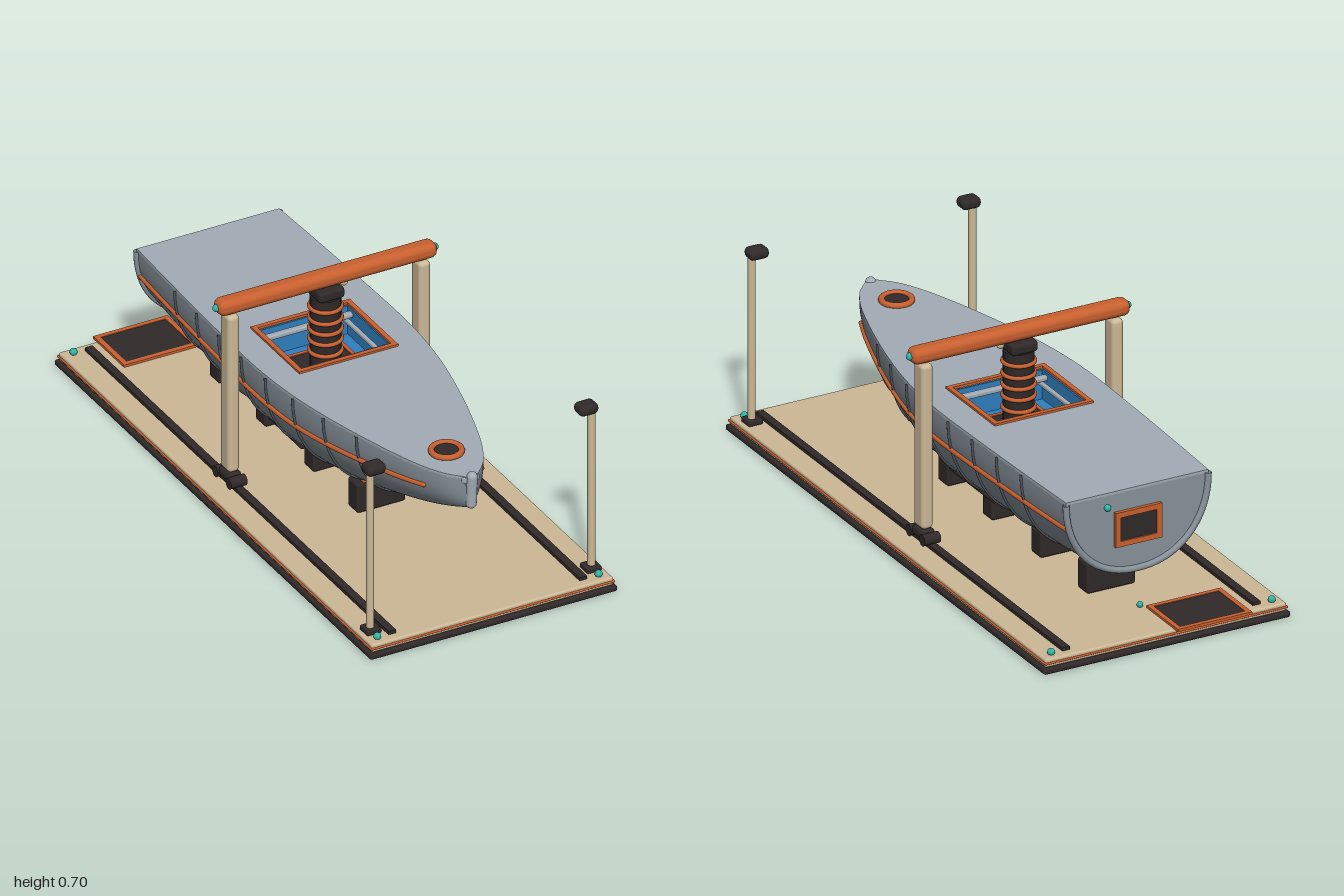
import * as THREE from 'three';
import { RoundedBoxGeometry } from 'three/addons/geometries/RoundedBoxGeometry.js';

const V = (x, y, z) => new THREE.Vector3(x, y, z);
const mat = (name, color, side = THREE.FrontSide) => {
  const m = new THREE.MeshStandardMaterial({ color, side });
  m.name = name;
  return m;
};

// Hull stations: z, half width, keel height
const SHEER = 0.448;
const STATIONS = [
  [-0.8, 0.245, 0.185], [-0.6, 0.253, 0.165], [-0.3, 0.262, 0.152], [0, 0.264, 0.148],
  [0.2, 0.245, 0.158], [0.4, 0.205, 0.195], [0.6, 0.15, 0.25], [0.72, 0.108, 0.29],
  [0.8, 0.066, 0.322], [0.85, 0.02, 0.345],
];
const hullCurve = new THREE.CatmullRomCurve3(STATIONS.map(([z, w, k]) => V(w, k, z)));

// Half width and keel height at a given z
function station(z) {
  let lo = 0, hi = 1;
  for (let i = 0; i < 24; i++) {
    const mid = (lo + hi) / 2;
    if (hullCurve.getPoint(mid).z < z) lo = mid; else hi = mid;
  }
  return hullCurve.getPoint(lo);
}

// Point on the hull section; angle 0 = left sheer, PI = right sheer
function hullPoint(s, a, out = 0) {
  const c = Math.cos(a), n = Math.sin(a);
  return V(Math.sign(c) * Math.abs(c) ** 0.92 * (s.x + out),
    SHEER - Math.abs(n) ** 0.95 * (SHEER - s.y + out), s.z);
}

function hullGeometry() {
  const rows = 48, cols = 40, pos = [], idx = [];
  for (let i = 0; i <= rows; i++) {
    const s = hullCurve.getPoint(i / rows);
    for (let j = 0; j <= cols; j++) pos.push(...hullPoint(s, (Math.PI * j) / cols).toArray());
  }
  for (let i = 0; i < rows; i++) for (let j = 0; j < cols; j++) {
    const a = i * (cols + 1) + j, b = a + cols + 1;
    idx.push(a, b, a + 1, b, b + 1, a + 1);
  }
  const g = new THREE.BufferGeometry();
  g.setAttribute('position', new THREE.Float32BufferAttribute(pos, 3));
  g.setIndex(idx);
  g.computeVertexNormals();
  return g;
}

export function createModel() {
  const root = new THREE.Group();
  root.name = 'boatOnCradle';
  const hullGrey = mat('hullGrey', 0x89939b, THREE.DoubleSide);
  const deckGrey = mat('deckGrey', 0xa3adb6);
  const slate = mat('slate', 0x505860);
  const dark = mat('charcoal', 0x302929);
  const orange = mat('orange', 0xc8602f);
  const tan = mat('tan', 0xcdb997);
  const teal = mat('teal', 0x2fb5a5);
  const blue = mat('blue', 0x2f7fc0);

  const add = (name, geo, m, x = 0, y = 0, z = 0) => {
    const mesh = new THREE.Mesh(geo, m);
    mesh.name = name;
    mesh.position.set(x, y, z);
    root.add(mesh);
    return mesh;
  };
  const box = (name, m, w, h, d, x, y, z, r = 0) =>
    add(name, r ? new RoundedBoxGeometry(w, h, d, 3, r) : new THREE.BoxGeometry(w, h, d), m, x, y, z);
  const ball = (name, m, r, x, y, z) => add(name, new THREE.SphereGeometry(r, 16, 12), m, x, y, z);
  const cyl = (name, m, r, h, x, y, z) => add(name, new THREE.CylinderGeometry(r, r, h, 24), m, x, y, z);
  const tube = (name, m, pts, r, n = 40) =>
    add(name, new THREE.TubeGeometry(new THREE.CatmullRomCurve3(pts), n, r, 8), m);
  // Flat rectangular frame in the XY plane
  const frame = (name, m, w, h, t, depth) => {
    const rect = (C, a, b) => {
      const p = new C();
      p.moveTo(-a, -b); p.lineTo(a, -b); p.lineTo(a, b); p.lineTo(-a, b); p.closePath();
      return p;
    };
    const s = rect(THREE.Shape, w / 2, h / 2);
    s.holes.push(rect(THREE.Path, w / 2 - t, h / 2 - t));
    return add(name, new THREE.ExtrudeGeometry(s, { depth, bevelEnabled: false }), m);
  };

  // Platform
  box('platformFoot', dark, 0.85, 0.02, 1.98, 0, 0.01, 0, 0.008);
  box('platformDeck', tan, 0.83, 0.027, 1.96, 0, 0.0335, 0, 0.006);
  box('platformTrim', orange, 0.838, 0.007, 1.968, 0, 0.033, 0, 0.003);
  box('floorHatch', dark, 0.23, 0.006, 0.17, -0.157, 0.05, -0.903);
  const hatchFrame = frame('floorHatchFrame', orange, 0.256, 0.195, 0.016, 0.009);
  hatchFrame.rotation.x = -Math.PI / 2;
  hatchFrame.position.set(-0.157, 0.046, -0.903);
  ball('floorHatchLamp', teal, 0.01, -0.015, 0.055, -0.79);

  // Rails, lamp posts, gantry legs
  for (const s of [-1, 1]) {
    box('rail', dark, 0.026, 0.012, 1.9, s * 0.328, 0.052, 0);
    for (const z of [-0.95, 0.95]) ball('cornerLamp', teal, 0.012, s * 0.38, 0.054, z);
    box('postFoot', dark, 0.05, 0.018, 0.05, s * 0.378, 0.056, 0.905, 0.005);
    cyl('lampPost', tan, 0.0125, 0.55, s * 0.38, 0.335, 0.905);
    box('lampHead', dark, 0.066, 0.036, 0.055, s * 0.365, 0.615, 0.9, 0.016);
    box('gantryLeg', tan, 0.04, 0.548, 0.06, s * 0.328, 0.368, -0.066, 0.014);
    box('gantryBogie', dark, 0.05, 0.034, 0.07, s * 0.328, 0.078, -0.066, 0.014);
    for (const z of [-0.108, -0.024]) {
      const wheel = cyl('bogieWheel', dark, 0.018, 0.056, s * 0.328, 0.07, z);
      wheel.rotation.z = Math.PI / 2;
    }
    ball('beamLamp', teal, 0.012, s * 0.375, 0.67, -0.066);
  }
  box('gantryBeam', orange, 0.75, 0.052, 0.06, 0, 0.67, -0.066, 0.022);

  // Hanging lift column with rings
  box('columnHead', dark, 0.09, 0.038, 0.09, 0, 0.627, -0.066, 0.012);
  cyl('liftColumn', dark, 0.048, 0.25, 0, 0.485, -0.066);
  for (const y of [0.42, 0.46, 0.496, 0.533, 0.573]) {
    const ring = add('columnRing', new THREE.TorusGeometry(0.049, 0.007, 8, 32), orange, 0, y, -0.066);
    ring.rotation.x = Math.PI / 2;
  }
  ball('hoistKnob', tan, 0.012, 0.063, 0.637, -0.066);

  // Keel blocks
  for (const z of [0.255, -0.02, -0.322, -0.61]) {
    const top = station(z).y;
    box('keelBlock', dark, 0.168, top - 0.062, 0.064, 0, (top + 0.032) / 2, z, 0.01);
    box('keelPad', orange, 0.13, 0.018, 0.07, 0, top - 0.007, z, 0.006);
  }

  // Hull shell and transom
  add('hull', hullGeometry(), hullGrey);
  const stern = station(-0.8);
  const arc = [];
  for (let i = 0; i <= 32; i++) arc.push(hullPoint(stern, (Math.PI * i) / 32));
  const transomShape = new THREE.Shape(arc.map((p) => new THREE.Vector2(p.x, p.y)));
  add('transom', new THREE.ShapeGeometry(transomShape), hullGrey, 0, 0, -0.8);
  tube('transomRim', hullGrey, arc, 0.011, 64);
  box('transomHatch', dark, 0.13, 0.09, 0.008, 0, 0.33, -0.803);
  frame('transomHatchFrame', orange, 0.16, 0.115, 0.018, 0.014).position.set(0, 0.33, -0.812);
  ball('transomLamp', teal, 0.011, 0.105, 0.41, -0.806);

  // Hull ribs
  for (let i = 0; i < 8; i++) {
    const s = station(0.47 - i * 0.1445), pts = [];
    for (let j = 0; j <= 24; j++) pts.push(hullPoint(s, (Math.PI * j) / 24, 0.001));
    tube('hullRib', slate, pts, 0.005, 48);
  }

  // Rub rails and bilge keels, both sides
  for (const side of [-1, 1]) {
    const pts = [];
    for (let i = 0; i <= 20; i++) {
      const z = 0.73 - (i / 20) * 1.52, s = station(z);
      const y = z > 0.15 ? 0.347 + 0.043 * ((z - 0.15) / 0.58) ** 1.4 : 0.347 + 0.014 * ((0.15 - z) / 0.95);
      const a = Math.asin(Math.min(1, (SHEER - y) / (SHEER - s.y)) ** (1 / 0.95));
      const p = hullPoint(s, a, 0.003);
      pts.push(V(p.x * side, p.y, z));
    }
    tube('rubRail', orange, pts, 0.0075, 60);
    for (const p of [pts[0], pts[20]]) ball('rubRailEnd', orange, 0.0075, p.x, p.y, p.z);
    box('bilgeKeel', dark, 0.02, 0.014, 0.28, side * 0.152, 0.192, -0.062, 0.006);
  }

  // Deck with well opening
  const outline = [];
  for (let i = 0; i <= 40; i++) {
    const p = hullCurve.getPoint(i / 40);
    outline.push(new THREE.Vector2(p.x, -p.z));
  }
  const deckShape = new THREE.Shape([...outline, ...outline.map((p) => new THREE.Vector2(-p.x, p.y)).reverse()]);
  const WZ = -0.072;
  const hole = new THREE.Path();
  hole.moveTo(-0.155, -WZ - 0.138); hole.lineTo(-0.155, -WZ + 0.138);
  hole.lineTo(0.155, -WZ + 0.138); hole.lineTo(0.155, -WZ - 0.138); hole.closePath();
  deckShape.holes.push(hole);
  const deck = add('deck', new THREE.ExtrudeGeometry(deckShape, { depth: 0.01, bevelEnabled: false }), deckGrey, 0, 0.446, 0);
  deck.rotation.x = -Math.PI / 2;
  const coaming = frame('wellCoaming', orange, 0.34, 0.304, 0.016, 0.008);
  coaming.rotation.x = -Math.PI / 2;
  coaming.position.set(0, 0.455, WZ);

  // Well interior
  for (const s of [-1, 1]) {
    box('wellSide', blue, 0.006, 0.1, 0.276, s * 0.157, 0.4, WZ);
    box('wellEnd', blue, 0.31, 0.1, 0.006, 0, 0.4, WZ + s * 0.14);
    box('wellCrossBar', deckGrey, 0.31, 0.016, 0.022, 0, 0.435, WZ + s * 0.112, 0.005);
    box('wellSideBar', deckGrey, 0.014, 0.014, 0.276, s * 0.135, 0.42, WZ, 0.004);
  }
  box('wellFloor', blue, 0.31, 0.006, 0.276, 0, 0.35, WZ);
  box('wellPlate', dark, 0.2, 0.008, 0.17, 0, 0.358, WZ);
  const plateFrame = frame('wellPlateFrame', orange, 0.22, 0.19, 0.012, 0.012);
  plateFrame.rotation.x = -Math.PI / 2;
  plateFrame.position.set(0, 0.353, WZ);

  // Foredeck porthole
  const port = add('portholeRing', new THREE.TorusGeometry(0.046, 0.01, 10, 36), orange, 0, 0.461, 0.69);
  port.rotation.x = Math.PI / 2;
  cyl('portholeGlass', dark, 0.042, 0.008, 0, 0.459, 0.69);

  // Bow stem
  const stem = add('bowStem', new THREE.CapsuleGeometry(0.017, 0.095, 6, 16), deckGrey, 0, 0.404, 0.848);
  stem.rotation.x = 0.06;
  box('stemHead', deckGrey, 0.06, 0.03, 0.03, 0, 0.442, 0.836, 0.012);
  return root;
}
